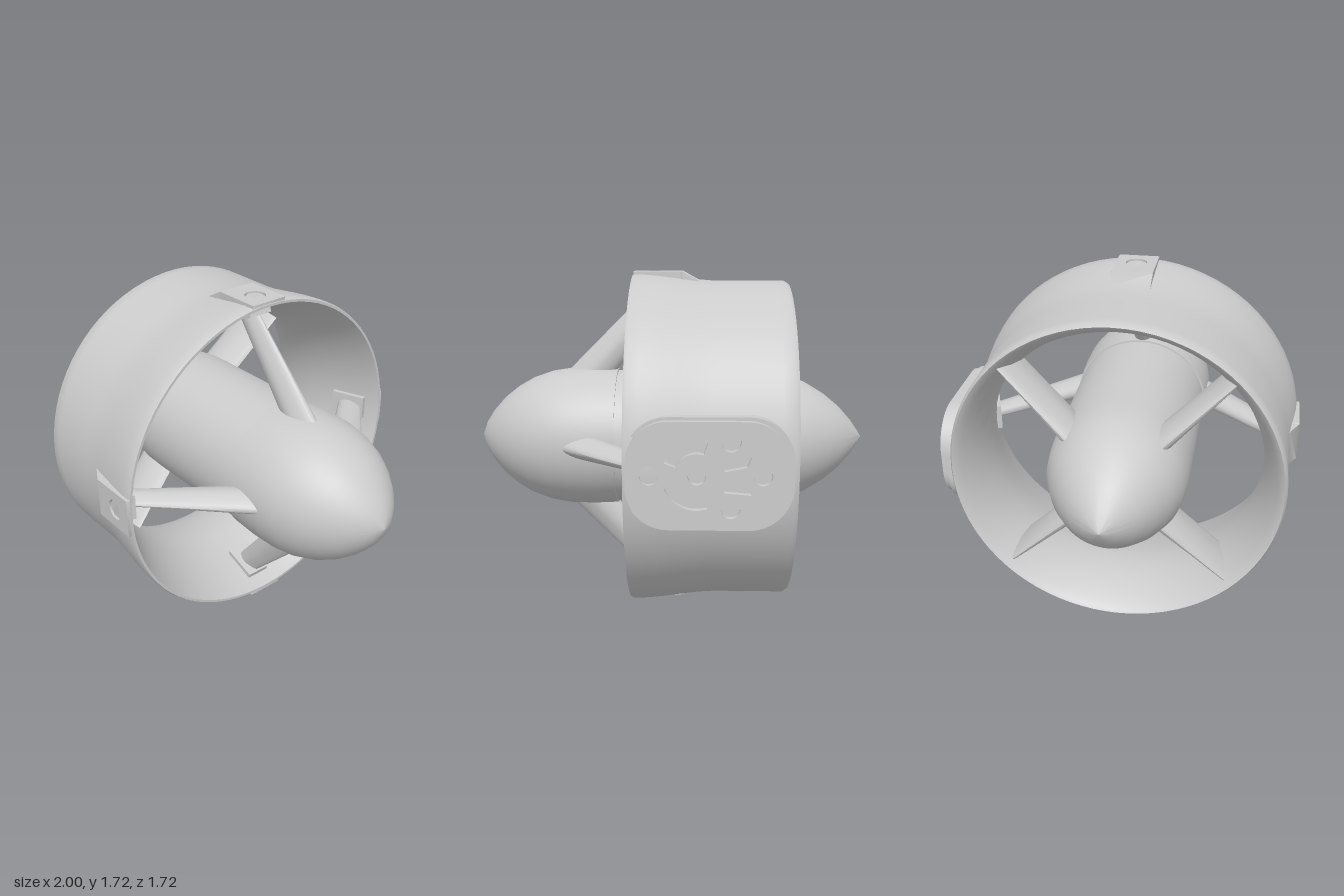
import * as THREE from 'three';
import { toCreasedNormals } from 'three/addons/utils/BufferGeometryUtils.js';

const material = new THREE.MeshStandardMaterial({ color: 0xcccccc, side: THREE.DoubleSide });
const PAD_R = 0.858;

// Outer radius of the duct at axial position x
const ductOuter = (x) => 0.81 + 0.04 * THREE.MathUtils.smoothstep(x, -0.25, 0.17);

function add(parent, name, geometry) {
  const mesh = new THREE.Mesh(geometry, material);
  mesh.name = name;
  parent.add(mesh);
  return mesh;
}

// Body of revolution around the x axis from [x, radius] pairs
function revolve(points, crease = 0.5) {
  const g = new THREE.LatheGeometry(points.map(([x, r]) => new THREE.Vector2(r, x)), 80);
  g.rotateZ(-Math.PI / 2);
  return toCreasedNormals(g, crease);
}

// Flat plate facing +z whose back follows the duct surface
function ductPlate(shape, top, rampEnd = -9) {
  const g = new THREE.ExtrudeGeometry(shape, { depth: 1, bevelEnabled: false, curveSegments: 12 });
  const p = g.attributes.position;
  for (let i = 0; i < p.count; i++) {
    const x = p.getX(i), y = p.getY(i);
    const surface = Math.sqrt((ductOuter(x) - 0.012) ** 2 - y * y);
    const front = x < rampEnd ? surface + 0.012 : top;
    p.setZ(i, p.getZ(i) > 0.5 ? front : surface);
  }
  return toCreasedNormals(g, 0.5);
}

function roundedShape(x0, x1, h, r) {
  const s = new THREE.Shape();
  s.moveTo(x0 + r, -h).lineTo(x1 - r, -h);
  s.absarc(x1 - r, -h + r, r, -Math.PI / 2, 0);
  s.absarc(x1 - r, h - r, r, 0, Math.PI / 2);
  s.absarc(x0 + r, h - r, r, Math.PI / 2, Math.PI);
  s.absarc(x0 + r, -h + r, r, Math.PI, Math.PI * 1.5);
  return s;
}

const circleHole = (x, y, r) => new THREE.Path().absarc(x, y, r, 0, Math.PI * 2, true);

function arcSlot(x, y, r0, r1, a0, a1) {
  const s = new THREE.Path();
  s.absarc(x, y, r1, a0, a1, false);
  s.absarc(x, y, r0, a1, a0, true);
  s.closePath();
  return s;
}

// Tapered vane along +z; each end is [radius, leading x, trailing x, half thickness]
function vane(root, tip) {
  const g = new THREE.CylinderGeometry(1, 1, 1, 24, 4);
  const p = g.attributes.position;
  for (let i = 0; i < p.count; i++) {
    const t = p.getY(i) + 0.5;
    const [r, x0, x1, th] = root.map((v, k) => THREE.MathUtils.lerp(v, tip[k], t));
    const c = p.getX(i), s = p.getZ(i);
    const thin = 1 - 0.35 * Math.max(c, 0);
    p.setXYZ(i, (x0 + x1) / 2 + c * (x1 - x0) / 2, -s * th * thin, r);
  }
  return toCreasedNormals(g, 0.6);
}

export function createModel() {
  const model = new THREE.Group();
  model.name = 'ductedThruster';
  const body = new THREE.Group();
  body.name = 'thrusterBody';
  body.position.y = PAD_R;
  model.add(body);

  // Duct with a narrow throat and flared outlet
  const outer = [];
  for (let i = 0; i <= 14; i++) {
    const x = -0.575 + i * 0.75 / 14;
    outer.push([x, ductOuter(x)]);
  }
  const inner = [[0.12, 0.80], [0.02, 0.762], [-0.1, 0.721], [-0.2, 0.699], [-0.28, 0.692],
    [-0.38, 0.7], [-0.48, 0.728], [-0.55, 0.762], [-0.585, 0.785]];
  add(body, 'duct', revolve([[-0.585, 0.785], [-0.595, 0.798], ...outer,
    [0.188, 0.845], [0.188, 0.832], ...inner], 0.6));

  // Central hub: pointed nose, motor barrel, rounded tail
  add(body, 'noseAndBarrel', revolve([[-1, 0], [-0.98, 0.035], [-0.94, 0.092], [-0.88, 0.16],
    [-0.8, 0.226], [-0.7, 0.287], [-0.6, 0.328], [-0.5, 0.342], [-0.4, 0.345], [0.275, 0.345]]));
  add(body, 'tailCone', revolve([[0.272, 0.34], [0.272, 0.354], [0.4, 0.36], [0.52, 0.357],
    [0.62, 0.341], [0.72, 0.306], [0.8, 0.26], [0.87, 0.204], [0.93, 0.137],
    [0.97, 0.076], [1, 0]]));

  // Four swept rear struts with foot tabs; outside pads on all but the mounting side
  for (let i = 0; i < 4; i++) {
    const arm = new THREE.Group();
    arm.name = 'rearStrut' + (i + 1);
    arm.rotation.x = -i * Math.PI / 2;
    body.add(arm);
    add(arm, 'strut', vane([0.3, 0.32, 0.58, 0.062], [0.78, -0.066, 0.1, 0.03]));
    const tab = add(arm, 'strutFoot', new THREE.BoxGeometry(0.19, 0.13, 0.06));
    tab.position.set(0.025, 0, 0.768);
    tab.rotation.y = -0.34;

    if (i !== 2) {
      const flat = roundedShape(-0.06, 0.185, 0.1, 0.004);
      flat.holes.push(circleHole(0.08, 0, 0.052));
      add(arm, 'screwPad', ductPlate(flat, PAD_R));
      add(arm, 'padRamp', ductPlate(roundedShape(-0.15, -0.06, 0.1, 0.002), PAD_R, -0.1));
      const screw = add(arm, 'screwSocket', new THREE.RingGeometry(0.024, 0.05, 6));
      screw.position.set(0.08, 0, 0.851);
    }

    // Diagonal stator vanes in the inlet
    const stator = add(body, 'inletVane' + (i + 1),
      vane([0.29, -0.62, -0.36, 0.05], [0.77, -0.56, -0.3, 0.025]));
    stator.rotation.x = -(i + 0.5) * Math.PI / 2;
  }

  // Mounting plate on the back, pierced by screw holes and lightening slots
  const mount = new THREE.Group();
  mount.name = 'mountingPlate';
  mount.rotation.x = Math.PI;
  body.add(mount);
  add(mount, 'mountSkirt', ductPlate(roundedShape(-0.57, 0.185, 0.256, 0.2), 0.832));
  const plate = roundedShape(-0.55, 0.175, 0.242, 0.19);
  const cx = -0.14;
  plate.holes.push(circleHole(cx, 0, 0.04));
  for (const [x, y] of [[0.07, 0], [-0.43, 0], [-0.29, 0.15], [-0.29, -0.15]]) {
    plate.holes.push(circleHole(x, y, 0.042));
  }
  for (const side of [1, -1]) {
    const mid = side * Math.PI * 0.36;
    plate.holes.push(arcSlot(cx, 0, 0.1, 0.155, mid - 0.75, mid + 0.75));
    const pocket = new THREE.Path();
    pocket.moveTo(-0.26, side * 0.02).lineTo(-0.36, side * 0.04)
      .lineTo(-0.38, side * 0.085).lineTo(-0.26, side * 0.075).closePath();
    plate.holes.push(pocket);
  }
  add(mount, 'mountFace', ductPlate(plate, 0.865));

  return model;
}
